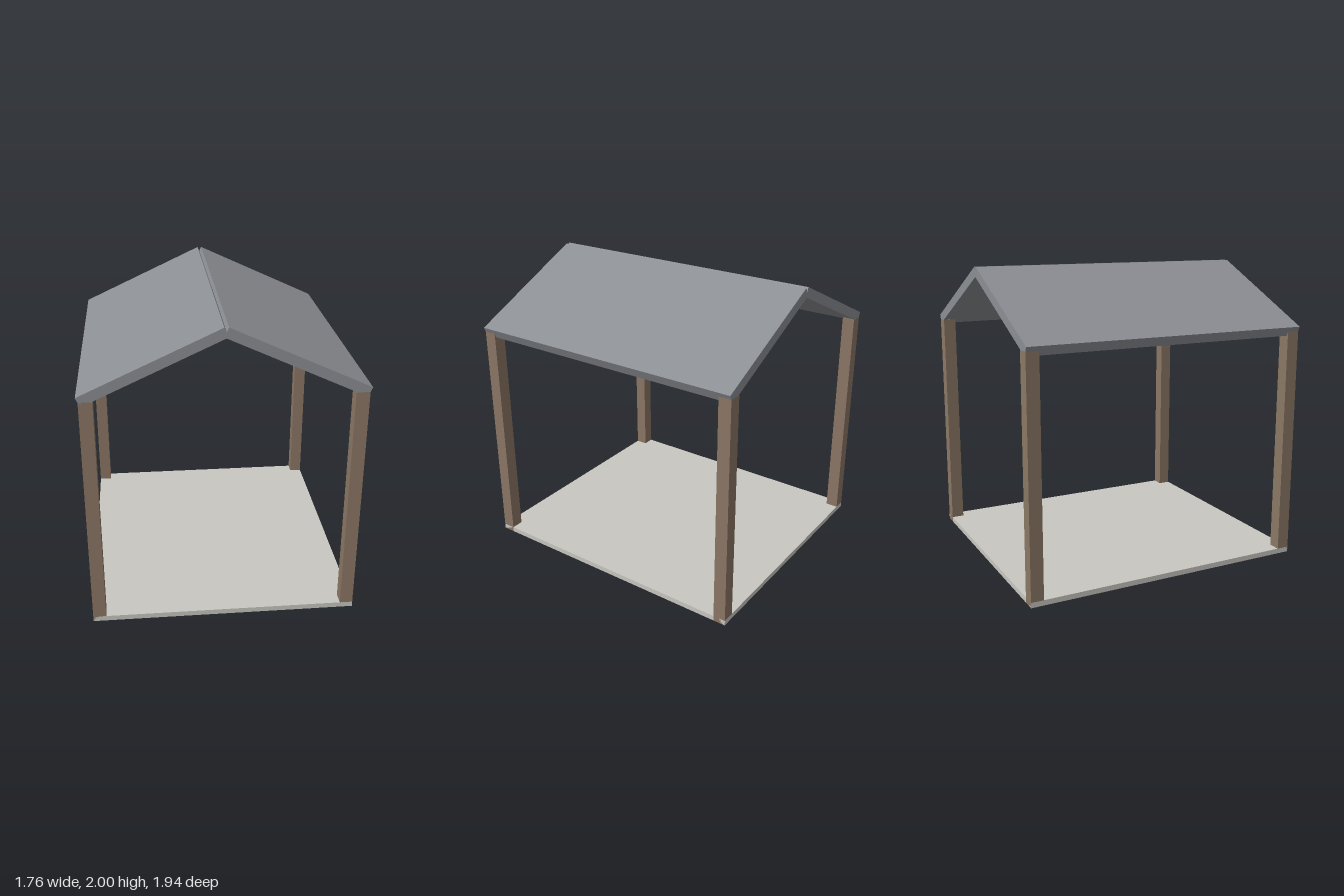
import * as THREE from 'three';

const HALF_X = 0.865, HALF_Z = 0.972; // footprint
const POST = 0.085, EAVES = 1.57, RIDGE = 1.97;

export function createModel() {
  const group = new THREE.Group();
  const wood = new THREE.MeshStandardMaterial({ color: 0x8b7765 });
  const roof = new THREE.MeshStandardMaterial({ color: 0x8b8e93 });
  const slab = new THREE.MeshStandardMaterial({ color: 0xc8c7c0 });

  const addBox = (name, w, h, d, x, y, z, material) => {
    const mesh = new THREE.Mesh(new THREE.BoxGeometry(w, h, d), material);
    mesh.name = name;
    mesh.position.set(x, y, z);
    group.add(mesh);
    return mesh;
  };

  // Floor slab
  addBox('floor', HALF_X * 2, 0.035, HALF_Z * 2, 0, 0.0175, 0, slab);

  const rise = RIDGE - EAVES;
  for (const [side, sx] of [['left', 1], ['right', -1]]) {
    // Corner posts
    for (const [end, sz] of [['Front', 1], ['Back', -1]]) {
      addBox(`${side}${end}Post`, POST, EAVES, POST,
        sx * (HALF_X - POST / 2), EAVES / 2, sz * (HALF_Z - POST / 2), wood);
    }
    // Sloping roof panel, its centre line running from ridge to eaves
    const panel = addBox(`${side}RoofPanel`, Math.hypot(HALF_X, rise), 0.065, HALF_Z * 2,
      sx * HALF_X / 2, (EAVES + RIDGE) / 2, 0, roof);
    panel.rotation.z = -sx * Math.atan2(rise, HALF_X);
  }
  return group;
}
